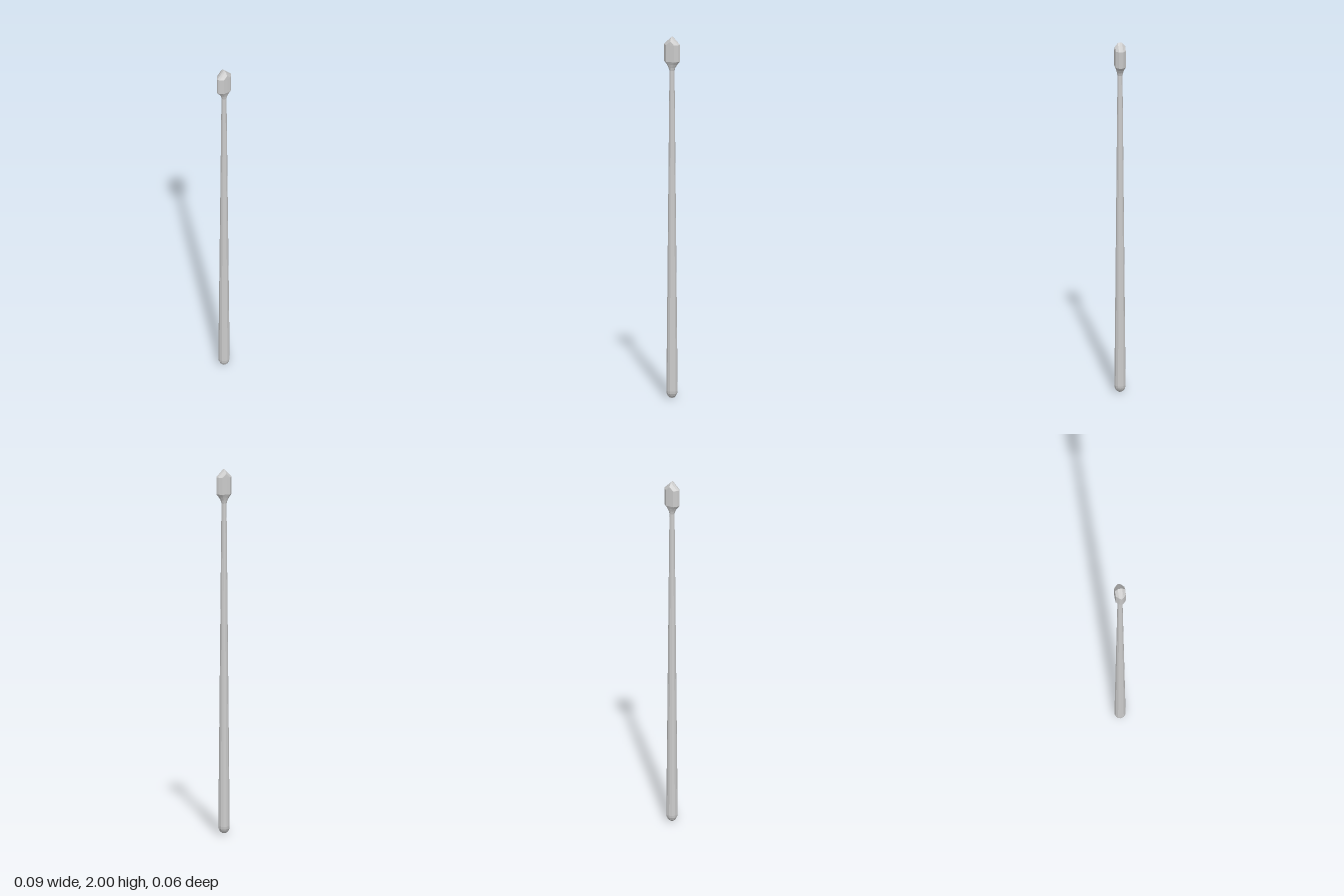
import * as THREE from 'three';

const SIDES = 12;
const material = new THREE.MeshStandardMaterial({ color: 0xcccccc, flatShading: true });

// Joins rings of points, listed from bottom to top, into a faceted skin.
function loft(name, rings) {
  const positions = rings.flat(2);
  const index = [];
  for (let r = 0; r < rings.length - 1; r++) {
    for (let i = 0; i < SIDES; i++) {
      const j = (i + 1) % SIDES;
      const a = r * SIDES + i, b = r * SIDES + j;
      const c = a + SIDES, d = b + SIDES;
      index.push(a, c, b, b, c, d);
    }
  }
  const geometry = new THREE.BufferGeometry();
  geometry.setAttribute('position', new THREE.Float32BufferAttribute(positions, 3));
  geometry.setIndex(index);
  const flat = geometry.toNonIndexed();
  flat.computeVertexNormals();
  const mesh = new THREE.Mesh(flat, material);
  mesh.name = name;
  return mesh;
}

// One ring; square = 0 is an ellipse, 1 has flattened front and back faces.
function ring(y, rx, rz, square = 0) {
  const flatProfile = [0, 0.42, 0.97, 1];
  return Array.from({ length: SIDES }, (_, i) => {
    const a = (i / SIDES) * Math.PI * 2;
    const s = Math.sin(a);
    const step = Math.round((Math.asin(Math.min(1, Math.abs(s))) * 6) / Math.PI);
    const z = THREE.MathUtils.lerp(s, Math.sign(s) * flatProfile[step], square);
    return [rx * Math.cos(a), y, rz * z];
  });
}

export function createModel() {
  const model = new THREE.Group();
  model.name = 'staff';

  // Tapered shaft with a rounded foot
  const shaftProfile = [
    [0, 0], [0.012, 0.003], [0.023, 0.013], [0.029, 0.026], [0.031, 0.04], [0.014, 1.81],
  ];
  model.add(loft('shaft', shaftProfile.map(([r, y]) => ring(y, r, r))));

  // Flared neck, widening from the shaft to the head
  model.add(loft('neck', [
    ring(1.81, 0.014, 0.014),
    ring(1.828, 0.02, 0.017, 0.3),
    ring(1.845, 0.031, 0.022, 0.7),
    ring(1.862, 0.046, 0.029, 1),
  ]));

  // Crystal head: straight sides, then a roof closing on a rounded ridge along z
  const shoulder = ring(1.955, 0.046, 0.029, 1);
  const ridgeHeights = [2, 1.996, 1.977, 1.972];
  const ridge = shoulder.map(([, , z], i) => {
    const k = i % 6;
    return [0, ridgeHeights[k > 3 ? 6 - k : k], z];
  });
  model.add(loft('head', [ring(1.862, 0.046, 0.029, 1), shoulder, ridge]));

  return model;
}
